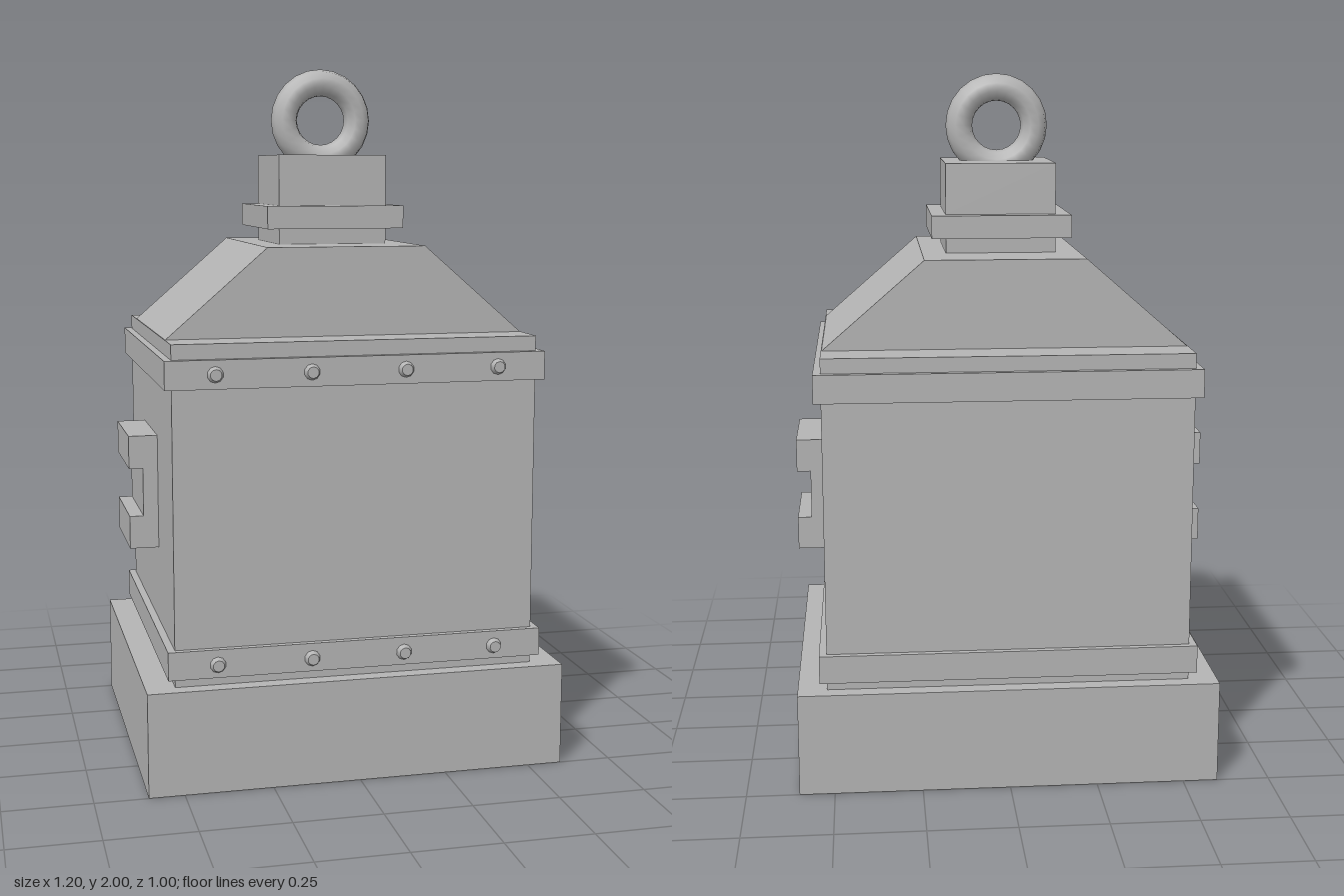
import * as THREE from 'three';

export function createModel() {
  const model = new THREE.Group();
  model.name = 'lanternBox';
  const grey = new THREE.MeshStandardMaterial({ color: 0xb4b4b4 });
  grey.name = 'grey metal';

  const add = (name, geometry, x = 0, y = 0, z = 0) => {
    const mesh = new THREE.Mesh(geometry, grey);
    mesh.name = name;
    mesh.position.set(x, y, z);
    model.add(mesh);
    return mesh;
  };
  // Centred block given by half sizes and its bottom and top heights
  const block = (name, hx, hz, y0, y1) =>
    add(name, new THREE.BoxGeometry(hx * 2, y1 - y0, hz * 2), 0, (y0 + y1) / 2, 0);
  // Outline in x and y, extruded evenly about z = 0
  const prism = (name, points, depth) => {
    const shape = new THREE.Shape(points.map(([x, y]) => new THREE.Vector2(x, y)));
    const geometry = new THREE.ExtrudeGeometry(shape, { depth, bevelEnabled: false });
    geometry.translate(0, 0, -depth / 2);
    return add(name, geometry);
  };

  // Plinth, body and bands
  block('base', 0.6, 0.5, 0, 0.295);
  block('body', 0.517, 0.455, 0.295, 1.245);
  block('lowerBand', 0.538, 0.473, 0.32, 0.4);
  block('upperBand', 0.538, 0.473, 1.123, 1.203);

  // Sloped roof and stepped cap
  prism('roof', [[-0.515, 1.245], [0.515, 1.245], [0.227, 1.495], [-0.227, 1.495]], 0.664);
  block('neck', 0.158, 0.158, 1.495, 1.54);
  block('collar', 0.2, 0.2, 1.54, 1.605);
  block('cap', 0.158, 0.158, 1.605, 1.75);

  // Lifting ring
  add('ring', new THREE.TorusGeometry(0.11, 0.039, 10, 24), 0, 1.851, 0);

  // Notched brackets on both sides
  for (const s of [1, -1]) {
    const outline = [[0.51, 0.62], [0.6, 0.62], [0.6, 0.715], [0.56, 0.715],
      [0.56, 0.855], [0.6, 0.855], [0.6, 0.95], [0.51, 0.95]];
    prism(s > 0 ? 'leftBracket' : 'rightBracket', outline.map(([x, y]) => [s * x, y]), 0.292);
  }

  // Rivets along the front of both bands
  const rivet = new THREE.CylinderGeometry(0.016, 0.024, 0.018, 10);
  rivet.rotateX(Math.PI / 2);
  for (const y of [0.357, 1.163])
    for (const x of [-0.4, -0.133, 0.133, 0.4]) add('rivet', rivet, x, y, 0.479);

  return model;
}
